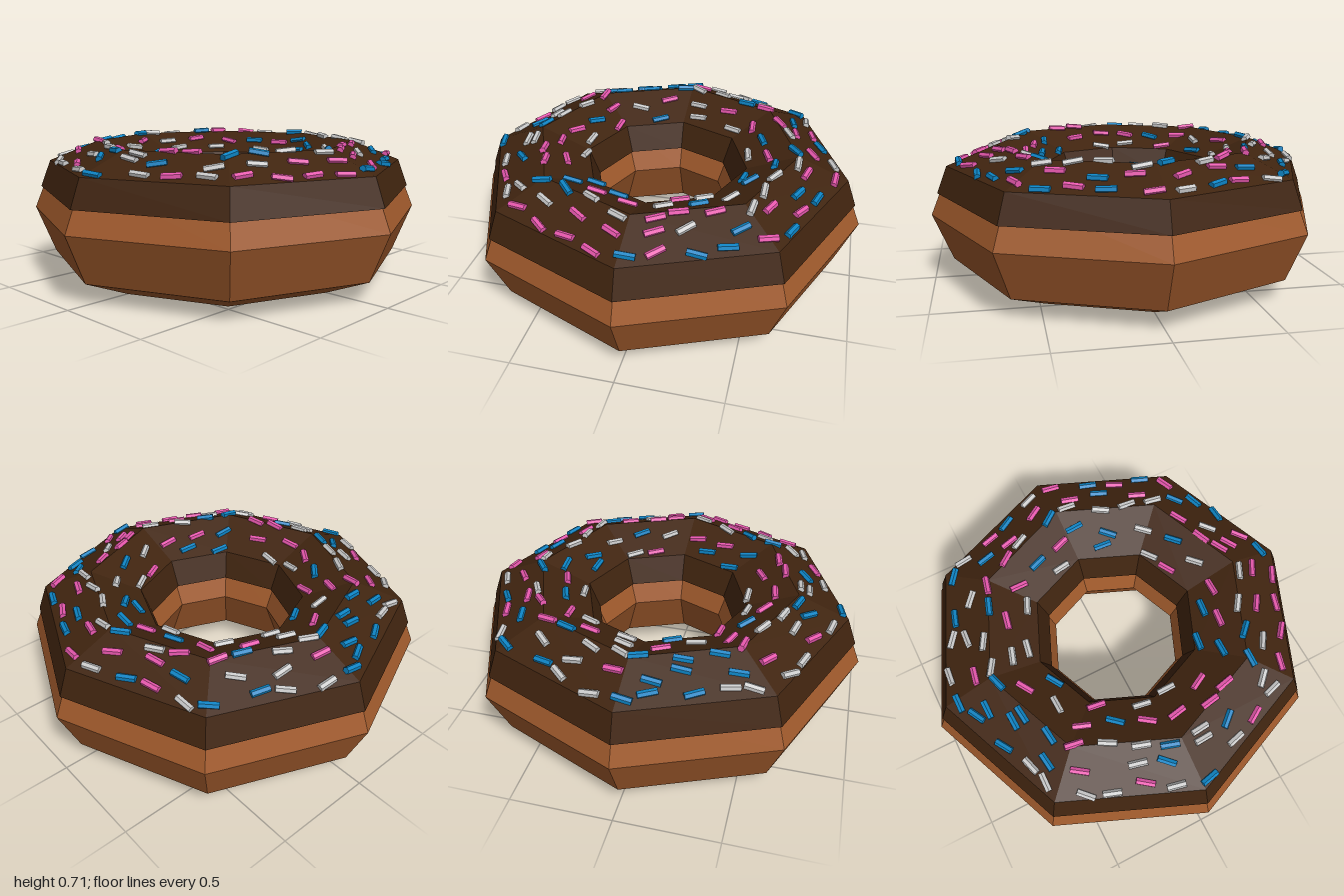
import * as THREE from 'three';

const SIDES = 8;
const mat = (color) => new THREE.MeshStandardMaterial({ color, flatShading: true });

// Small seeded generator for the scatter
let seed = 7;
const rand = () => (seed = (seed * 16807) % 2147483647) / 2147483647;
const jitter = (a) => (rand() * 2 - 1) * a;

// Eight-sided ring from a cross-section of [radius, height]
function ring(name, profile, material) {
  const points = profile.map(([r, y]) => new THREE.Vector2(r, y));
  const mesh = new THREE.Mesh(new THREE.LatheGeometry(points, SIDES), material);
  mesh.name = name;
  return mesh;
}

// Icing cross-section: outer rim, over the top, inner rim
const ICING = [[0.967, 0.445], [0.915, 0.582], [0.665, 0.683], [0.415, 0.582], [0.363, 0.445]];

// Point on the faceted icing at angle a and corner radius rho
function icingPoint(a, rho) {
  let i = 0;
  while (i < ICING.length - 2 && rho < ICING[i + 1][0]) i++;
  const [r0, y0] = ICING[i], [r1, y1] = ICING[i + 1];
  const y = y0 + (y1 - y0) * (rho - r0) / (r1 - r0);
  const step = Math.PI * 2 / SIDES;
  const mid = (Math.floor(a / step) + 0.5) * step;
  const r = rho * Math.cos(step / 2) / Math.cos(a - mid);
  return new THREE.Vector3(r * Math.sin(a), y, r * Math.cos(a));
}

export function createModel() {
  const group = new THREE.Group();

  // Dough: octagonal tube section swept around an octagon
  const dough = [];
  for (let i = 0; i <= 8; i++) {
    const t = i / 8 * Math.PI * 2;
    dough.push([0.667 + 0.333 * Math.cos(t), 0.335 + 0.335 * Math.sin(t)]);
  }
  group.add(ring('dough', dough, mat(0xa05a2c)));

  // Icing shell, with a thin lip closing it against the dough
  const icing = ring('icing', [[0.945, 0.445], ...ICING, [0.385, 0.445]], mat(0x40240f));
  group.add(icing);

  // Sprinkles lying along the icing in loose rings
  const sprinkles = new THREE.Group();
  sprinkles.name = 'sprinkles';
  const stick = new THREE.CylinderGeometry(0.017, 0.017, 0.09, 6);
  const colors = [0x0d84c4, 0xe858ae, 0xcccccc].map(mat);
  const rows = [[0.87, 34], [0.77, 24], [0.68, 28], [0.56, 20], [0.46, 12]];
  const up = new THREE.Vector3(0, 1, 0);
  for (const [rho, count] of rows) {
    for (let i = 0; i < count; i++) {
      const a = ((i + 0.5 + jitter(0.25)) / count) * Math.PI * 2;
      const r = rho + jitter(0.025);
      const p = icingPoint(a, r);
      // Tangent frame of the facet
      const along = icingPoint(a + 0.01, r).sub(p).normalize();
      const across = icingPoint(a, r - 0.004).sub(p).normalize();
      const normal = along.clone().cross(across).normalize();
      if (normal.y < 0) normal.negate();
      const dir = along.applyAxisAngle(normal, jitter(0.45));
      const sprinkle = new THREE.Mesh(stick, colors[Math.floor(rand() * 3)]);
      sprinkle.name = 'sprinkle';
      sprinkle.position.copy(p).addScaledVector(normal, 0.004);
      sprinkle.quaternion.setFromUnitVectors(up, dir);
      sprinkles.add(sprinkle);
    }
  }
  group.add(sprinkles);
  return group;
}
